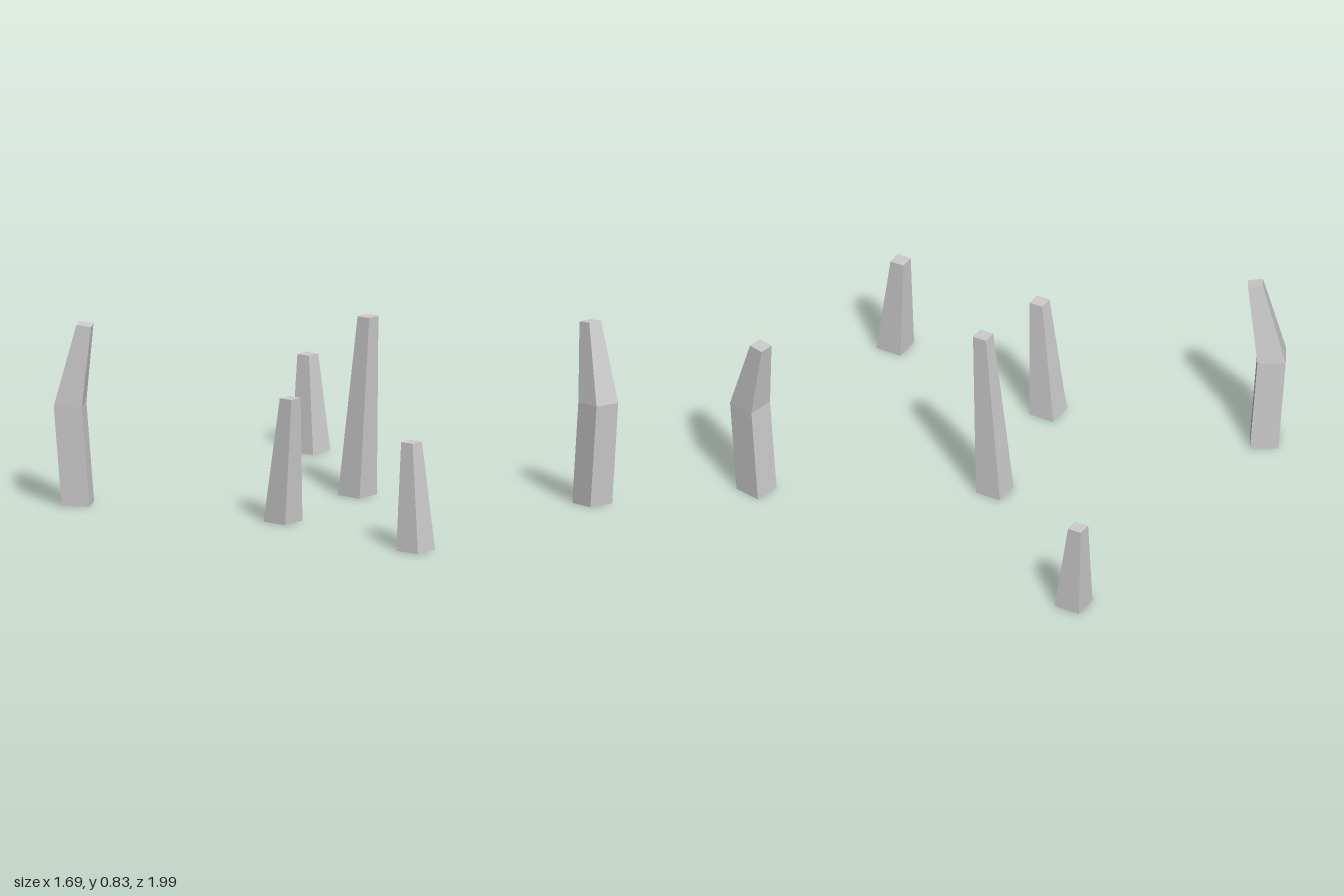
import * as THREE from 'three';

const material = new THREE.MeshStandardMaterial({
  color: 0xcccccc, flatShading: true, side: THREE.DoubleSide,
});

// Square corners, counter-clockwise seen from above
const CORNERS = [[-0.5, -0.5], [-0.5, 0.5], [0.5, 0.5], [0.5, -0.5]];

// Skins a stack of square rings [y, centreX, centreZ, width], open underneath.
// turn rotates the rings about y; tilt slopes the top along z.
function pillar(name, rings, turn = 0, tilt = 0) {
  const c = Math.cos(turn), s = Math.sin(turn);
  const positions = [], index = [];
  rings.forEach(([y, cx, cz, w], r) => {
    for (const [u, v] of CORNERS) {
      const dx = (u * c + v * s) * w;
      const dz = (v * c - u * s) * w;
      const slope = r === rings.length - 1 ? tilt * dz : 0;
      positions.push(cx + dx, y + slope, cz + dz);
    }
    if (r === 0) return;
    for (let i = 0; i < 4; i++) {
      const a = (r - 1) * 4 + i, b = (r - 1) * 4 + (i + 1) % 4;
      index.push(a, b, b + 4, a, b + 4, a + 4);
    }
  });
  const t = (rings.length - 1) * 4;
  index.push(t, t + 1, t + 2, t, t + 2, t + 3);

  const indexed = new THREE.BufferGeometry();
  indexed.setAttribute('position', new THREE.Float32BufferAttribute(positions, 3));
  indexed.setIndex(index);
  const geometry = indexed.toNonIndexed();
  geometry.computeVertexNormals();
  const mesh = new THREE.Mesh(geometry, material);
  mesh.name = name;
  return mesh;
}

export function createModel() {
  const group = new THREE.Group();
  group.name = 'standingPillars';

  group.add(
    // Straight, leaning, tapered pillars
    pillar('centrePillar', [[0, 0.188, -0.035, 0.123], [0.82, 0.192, 0.022, 0.066]]),
    pillar('middleRightPillar', [[0, -0.46, 0.06, 0.123], [0.57, -0.475, 0.113, 0.066]]),
    pillar('frontRightPillar', [[0, -0.573, 0.907, 0.123], [0.485, -0.555, 0.869, 0.066]]),
    pillar('backLeftPillar', [[0, 0.783, -0.777, 0.123], [0.435, 0.803, -0.811, 0.066]]),

    // Tall pillars with a bend halfway up
    pillar('frontLeftBentPillar',
      [[0, 0.7, 0.893, 0.126], [0.46, 0.707, 0.922, 0.126], [0.815, 0.746, 0.845, 0.068]],
      -0.2, 0.06),
    pillar('backRightBentPillar',
      [[0, -0.737, -0.888, 0.126], [0.455, -0.762, -0.912, 0.126], [0.826, -0.751, -0.836, 0.066]],
      0.51, -0.15),
  );
  return group;
}
